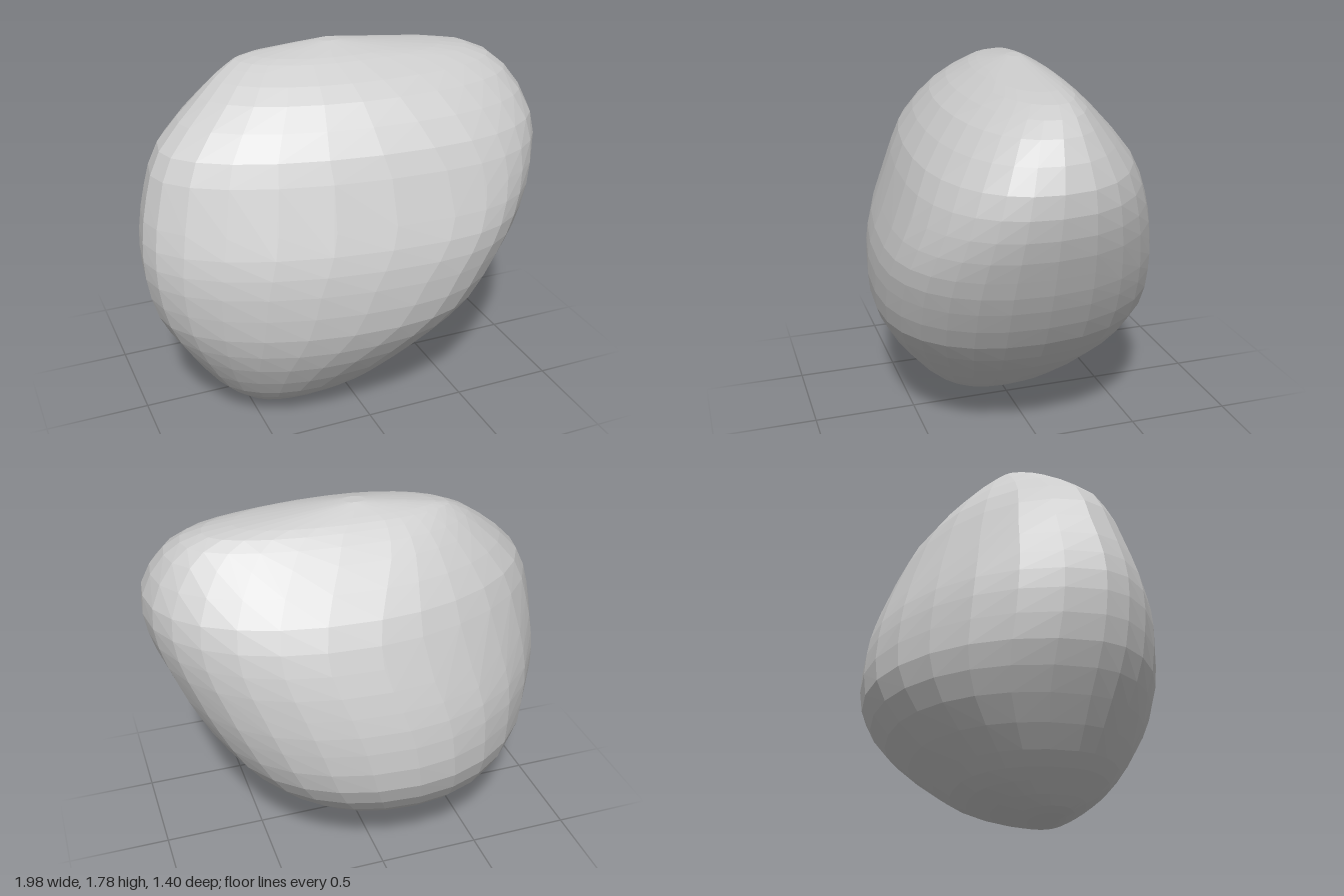
import * as THREE from 'three';
import { ConvexGeometry } from 'three/addons/geometries/ConvexGeometry.js';

// Horizontal sections, each with its four extreme points:
// y, left end (x, z), right end (x, z), front (x, z), back (x, z)
const SECTIONS = [
  [0.00, -0.38, 0.13, -0.24, 0.13, -0.31, 0.17, -0.31, 0.08],
  [0.02, -0.49, 0.12, -0.12, 0.11, -0.30, 0.23, -0.28, -0.02],
  [0.10, -0.59, 0.13, 0.10, 0.08, -0.28, 0.35, -0.24, -0.22],
  [0.20, -0.69, 0.14, 0.28, 0.05, -0.24, 0.45, -0.20, -0.36],
  [0.40, -0.83, 0.15, 0.52, 0.03, -0.12, 0.59, -0.15, -0.58],
  [0.60, -0.94, 0.17, 0.69, 0.04, 0.06, 0.68, -0.11, -0.69],
  [0.82, -0.99, 0.18, 0.82, 0.06, 0.18, 0.70, -0.08, -0.69],
  [1.00, -0.99, 0.17, 0.90, 0.07, 0.30, 0.68, -0.03, -0.65],
  [1.20, -0.95, 0.13, 0.97, 0.08, 0.35, 0.61, 0.04, -0.58],
  [1.40, -0.87, 0.10, 0.98, 0.07, 0.28, 0.53, 0.02, -0.49],
  [1.60, -0.65, 0.02, 0.87, 0.04, 0.18, 0.37, -0.08, -0.32],
  [1.70, -0.50, -0.05, 0.70, 0.00, 0.10, 0.21, -0.10, -0.21],
  [1.74, -0.38, -0.08, 0.40, -0.02, 0.05, 0.13, -0.08, -0.15],
  [1.78, -0.05, -0.04, 0.05, -0.03, 0.00, 0.00, 0.00, -0.07],
];
const STEPS = 7;

// Smooth line up the rock through one extreme point of every section
function guide(column) {
  const points = SECTIONS.map((s) => new THREE.Vector3(s[column], s[0], s[column + 1]));
  return new THREE.CatmullRomCurve3(points, false, 'catmullrom', 0.5);
}

// Rounded corner of a section, from a side end to the front or back
function addCorner(points, side, end, roundness) {
  for (let i = 0; i <= STEPS; i++) {
    const a = (i / STEPS) * Math.PI / 2;
    const c = Math.pow(Math.max(0, Math.cos(a)), 2 / roundness);
    const s = Math.pow(Math.sin(a), 2 / roundness);
    points.push(new THREE.Vector3(
      end.x + (side.x - end.x) * c, side.y, side.z + (end.z - side.z) * s));
  }
}

export function createModel() {
  const guides = [1, 3, 5, 7].map(guide);
  const points = [];
  const rows = (SECTIONS.length - 1) * 2;
  for (let i = 0; i <= rows; i++) {
    const [left, right, front, back] = guides.map((g) => g.getPoint(i / rows));
    // The underside corners are slightly fuller
    const low = 0.2 * Math.max(0, 1 - left.y / 0.7);
    addCorner(points, right, front, 2.35 + low);
    addCorner(points, left, front, 1.95 + low);
    addCorner(points, left, back, 1.92 + 2 * low);
    addCorner(points, right, back, 2.2);
  }

  // Faceted convex boulder
  const material = new THREE.MeshStandardMaterial({ color: 0xcccccc, flatShading: true });
  const rock = new THREE.Mesh(new ConvexGeometry(points), material);
  rock.name = 'rock';

  const group = new THREE.Group();
  group.name = 'boulder';
  group.add(rock);
  return group;
}
